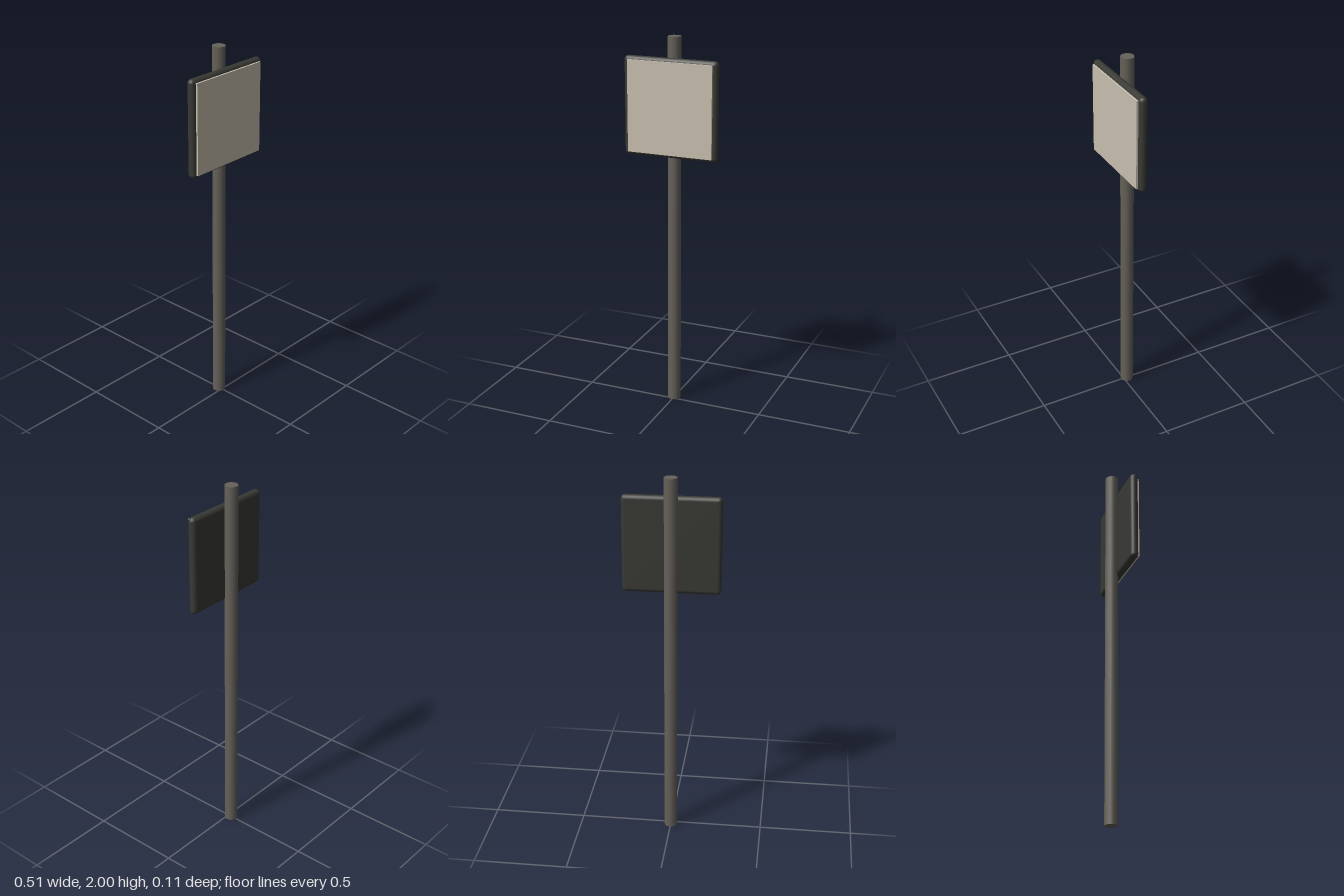
import * as THREE from 'three';
import { RoundedBoxGeometry } from 'three/addons/geometries/RoundedBoxGeometry.js';

function material(name, color) {
  const m = new THREE.MeshStandardMaterial({ color });
  m.name = name;
  return m;
}

export function createModel() {
  const group = new THREE.Group();
  group.name = 'signpost';

  const add = (name, geometry, mat, x, y, z) => {
    const mesh = new THREE.Mesh(geometry, mat);
    mesh.name = name;
    mesh.position.set(x, y, z);
    group.add(mesh);
  };

  // Round pole standing just behind the board
  add('pole', new THREE.CylinderGeometry(0.035, 0.035, 2, 12),
    material('warm grey metal', 0x65615a), 0, 1, -0.02);

  // Dark backing board with rounded edges
  add('board', new RoundedBoxGeometry(0.512, 0.516, 0.043, 2, 0.0214),
    material('dark frame', 0x393a34), 0, 1.638, 0.0215);

  // Pale blank face set on the front of the board
  add('signFace', new THREE.BoxGeometry(0.462, 0.48, 0.0098),
    material('pale beige', 0xc8bfae), 0, 1.638, 0.048);

  return group;
}
